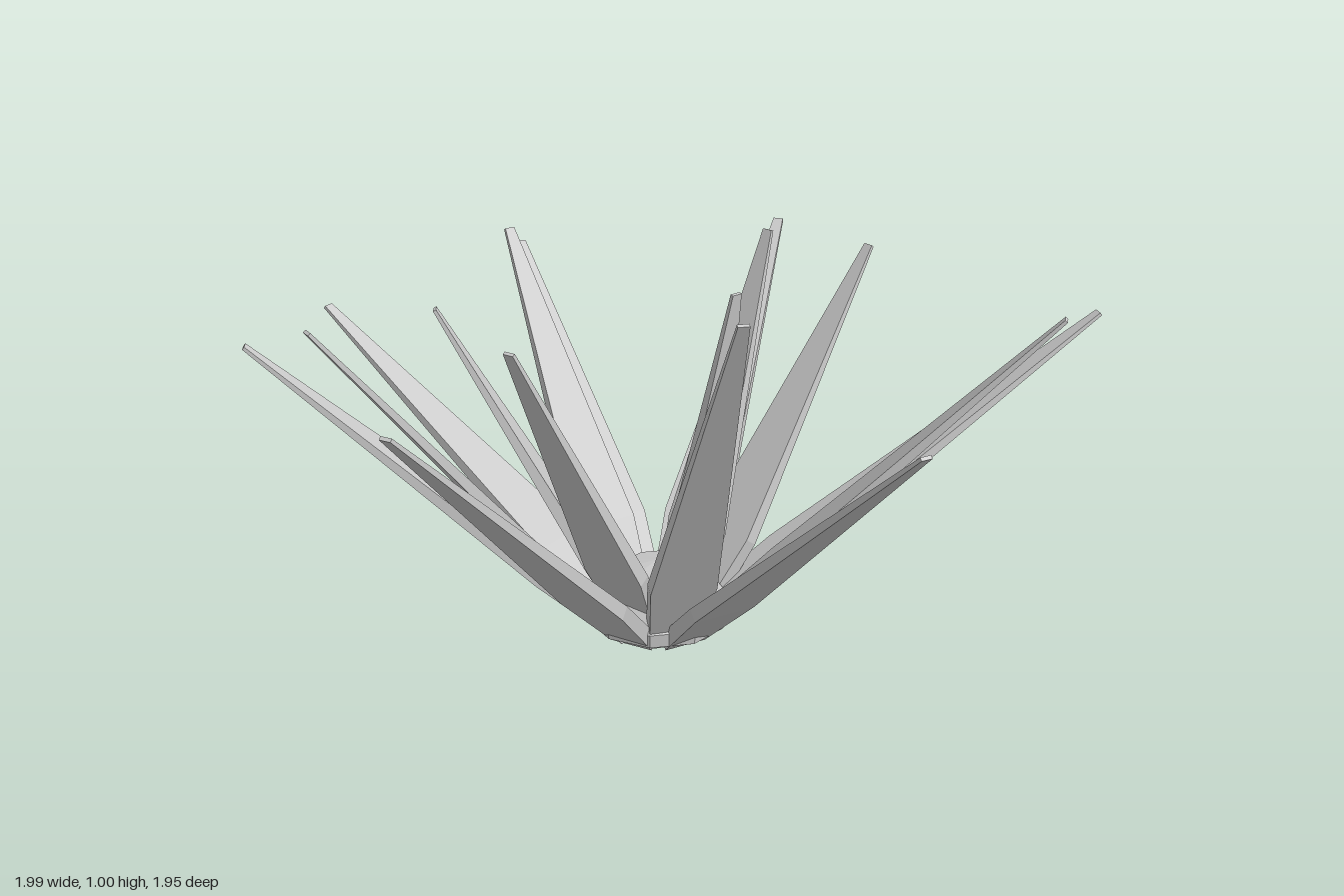
import * as THREE from 'three';

const CENTER = new THREE.Vector3(0.04, 0.03, -0.08);

// Tip of every leaf
const OUTER_TIPS = [
  [-0.31, 0.78, -0.96], [0.68, 0.74, -0.96], [0.84, 0.87, -0.52], [0.99, 0.82, 0.23],
  [0.30, 0.89, 0.97], [-0.20, 0.92, 0.75], [-0.62, 0.75, 0.61], [-0.99, 0.63, 0.07],
  [-0.94, 0.67, -0.59], [0.58, 1.0, 0.28], [0.15, 0.85, -0.74], [-0.59, 0.86, -0.21],
];
const INNER_TIPS = [
  [0.12, 0.88, 0.48], [-0.32, 0.83, 0.29], [0.05, 0.93, -0.46], [0.29, 0.92, -0.05],
];

// Sections along a leaf: [fraction of length, width, thickness]
const SECTIONS = [[0, 0.11, 0.04], [0.2, 0.16, 0.034], [1, 0.026, 0.008]];

const material = new THREE.MeshStandardMaterial({
  color: 0xcccccc, flatShading: true, side: THREE.DoubleSide,
});

// A flat tapered blade from the crown to its tip
function makeLeaf(tip, radius, baseY, name) {
  const end = new THREE.Vector3(...tip);
  const out = end.clone().sub(CENTER).setY(0).normalize();
  const start = CENTER.clone().addScaledVector(out, radius).setY(baseY);
  const axis = end.clone().sub(start);
  const length = axis.length();
  axis.normalize();
  const across = new THREE.Vector3(out.z, 0, -out.x);
  const normal = new THREE.Vector3().crossVectors(across, axis);

  const geometry = new THREE.BoxGeometry(1, 1, 1, 1, 2, 1);
  const pos = geometry.attributes.position;
  for (let i = 0; i < pos.count; i++) {
    const [t, width, thick] = SECTIONS[Math.round((pos.getY(i) + 0.5) * 2)];
    pos.setXYZ(i, pos.getX(i) * width, t * length, pos.getZ(i) * thick);
  }
  geometry.applyMatrix4(new THREE.Matrix4().makeBasis(across, axis, normal).setPosition(start));
  geometry.computeVertexNormals();
  const leaf = new THREE.Mesh(geometry, material);
  leaf.name = name;
  return leaf;
}

export function createModel() {
  const group = new THREE.Group();
  group.name = 'spikyPlant';

  // Hollow crown: short rim and domed top, open below
  const profile = [[0.175, 0.03], [0.18, 0.065], [0.14, 0.12], [0.08, 0.165], [0, 0.18]]
    .map(([r, y]) => new THREE.Vector2(r, y));
  const crown = new THREE.Mesh(new THREE.LatheGeometry(profile, 10), material);
  crown.position.set(CENTER.x, 0, CENTER.z);
  crown.name = 'crown';
  group.add(crown);

  // Spreading outer leaves and steeper inner leaves
  OUTER_TIPS.forEach((tip) => group.add(makeLeaf(tip, 0.12, 0.022, 'outerLeaf')));
  INNER_TIPS.forEach((tip) => group.add(makeLeaf(tip, 0.08, 0.05, 'innerLeaf')));
  return group;
}
